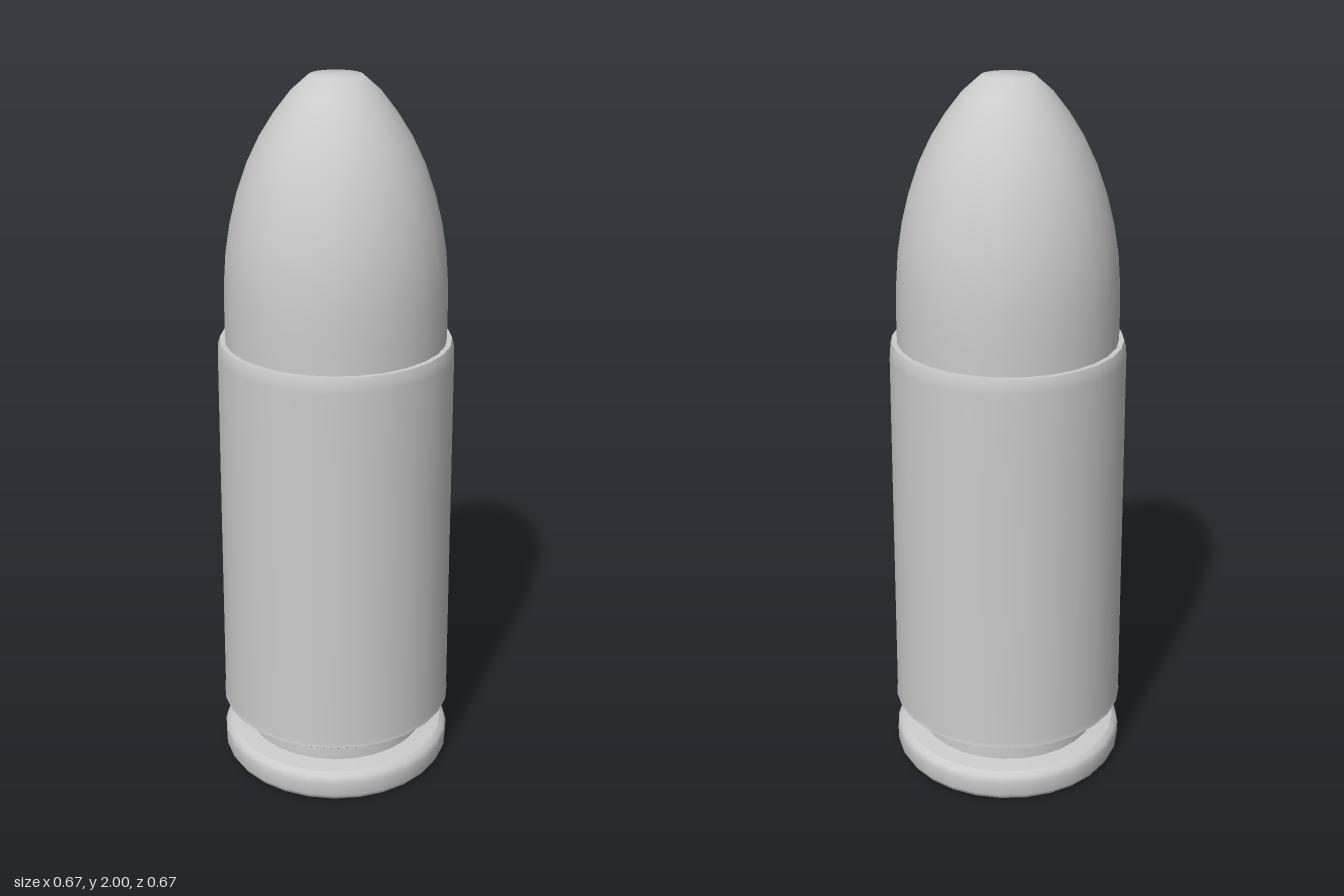
import * as THREE from 'three';

const SIDES = 28;

export function createModel() {
  const model = new THREE.Group();
  const material = new THREE.MeshStandardMaterial({ color: 0xcccccc });

  // Each band is a smooth lathe; separate bands keep a sharp edge between them.
  // Profiles are [radius, height], running outward along the base and then up.
  function addPart(name, bands) {
    const part = new THREE.Group();
    part.name = name;
    for (const band of bands) {
      const points = band.map(([r, y]) => new THREE.Vector2(r, y));
      const mesh = new THREE.Mesh(new THREE.LatheGeometry(points, SIDES), material);
      mesh.name = name + 'Surface';
      part.add(mesh);
    }
    model.add(part);
  }

  // recessed disc in the middle of the base
  addPart('primer', [
    [[0, 0.012], [0.152, 0.012]],
    [[0.152, 0.012], [0.157, 0]],
  ]);

  // rim with softened lower and upper edges
  addPart('rim', [
    [[0.157, 0], [0.305, 0]],
    [[0.305, 0], [0.322, 0.008], [0.332, 0.025], [0.333, 0.065], [0.328, 0.083], [0.313, 0.093]],
    [[0.313, 0.093], [0.262, 0.1]],
  ]);

  // narrow groove and the flare up to the case
  addPart('extractorGroove', [
    [[0.262, 0.1], [0.262, 0.137]],
    [[0.262, 0.137], [0.333, 0.187]],
  ]);

  // slightly tapering case with a flat mouth ring
  addPart('case', [
    [[0.333, 0.187], [0.331, 0.2], [0.328, 0.6], [0.325, 1.0], [0.323, 1.25], [0.321, 1.275], [0.316, 1.292]],
    [[0.316, 1.292], [0.302, 1.292]],
    [[0.302, 1.292], [0.302, 1.27]],
  ]);

  // rounded nose with a small flat tip
  addPart('bullet', [
    [[0.302, 1.27], [0.302, 1.36], [0.3, 1.45], [0.294, 1.53], [0.281, 1.61],
      [0.261, 1.69], [0.233, 1.77], [0.199, 1.84], [0.161, 1.9], [0.118, 1.955],
      [0.07, 1.997], [0, 2]],
  ]);

  return model;
}
